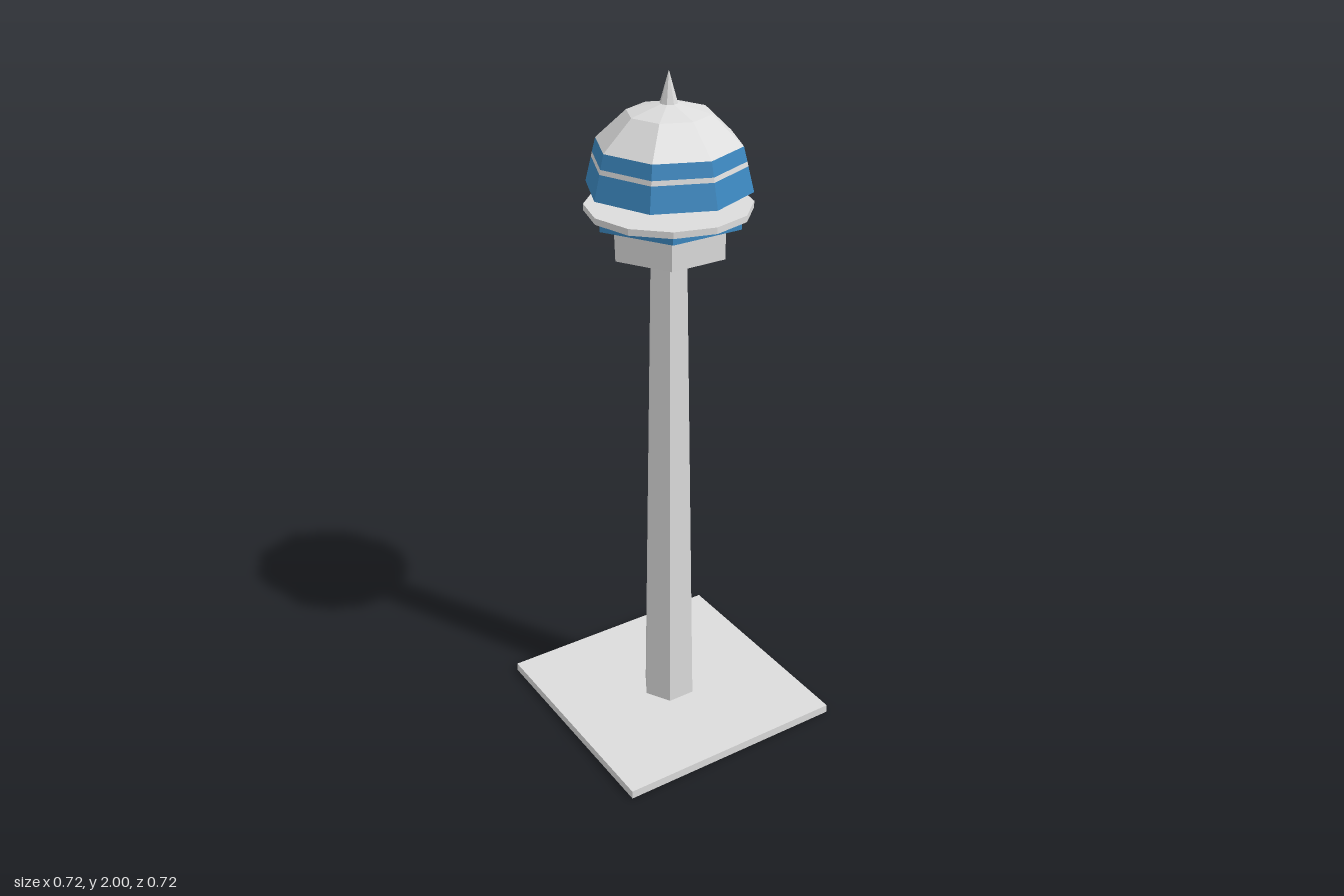
import * as THREE from 'three';

export function createModel() {
  const tower = new THREE.Group();
  tower.name = 'observationTower';
  const grey = new THREE.MeshStandardMaterial({ color: 0xdcdcdc, flatShading: true });
  grey.name = 'concreteGrey';
  const blue = new THREE.MeshStandardMaterial({ color: 0x3c88c0, flatShading: true });
  blue.name = 'windowBlue';

  function add(name, geometry, material, y = 0) {
    const mesh = new THREE.Mesh(geometry, material);
    mesh.name = name;
    mesh.position.y = y;
    tower.add(mesh);
  }

  // Faceted tapering drum between two heights, with corners on the x axis
  function drum(name, y0, y1, r0, r1, sides, material, open = false) {
    const geometry = new THREE.CylinderGeometry(r1, r0, y1 - y0, sides, 1, open, Math.PI / 2);
    add(name, geometry, material, (y0 + y1) / 2);
  }

  // Ground slab and six-sided shaft
  add('baseSlab', new THREE.BoxGeometry(0.716, 0.026, 0.716), grey, 0.013);
  drum('shaft', 0.026, 1.51, 0.084, 0.056, 6, grey);

  // Lower deck: collar, blue band and railing disc
  drum('collar', 1.51, 1.602, 0.17, 0.17, 6, grey);
  drum('lowerWindowBand', 1.602, 1.625, 0.216, 0.216, 6, blue);
  drum('deckDisc', 1.625, 1.643, 0.23, 0.23, 12, grey);

  // Funnel carrying the cabin
  drum('funnel', 1.643, 1.688, 0.022, 0.066, 8, grey);

  // Eight-sided domed cabin, stacked in coloured bands
  const underside = new THREE.CircleGeometry(0.23, 8);
  underside.rotateX(Math.PI / 2);
  add('cabinUnderside', underside, grey, 1.688);
  const dome = [
    ['cabinWindowsLower', 1.688, 0.23, blue],
    ['cabinStripe', 1.757, 0.213, grey],
    ['cabinWindowsUpper', 1.77, 0.21, blue],
    ['roofLower', 1.81, 0.2, grey],
    ['roofUpper', 1.89, 0.115, grey],
    ['roofTip', 1.92, 0, null],
  ];
  for (let i = 0; i < dome.length - 1; i++) {
    const [name, y0, r0, material] = dome[i];
    const [, y1, r1] = dome[i + 1];
    drum(name, y0, y1, r0, r1, 8, material, true);
  }

  // Pointed finial
  drum('spire', 1.912, 2, 0.025, 0, 8, grey);

  return tower;
}
